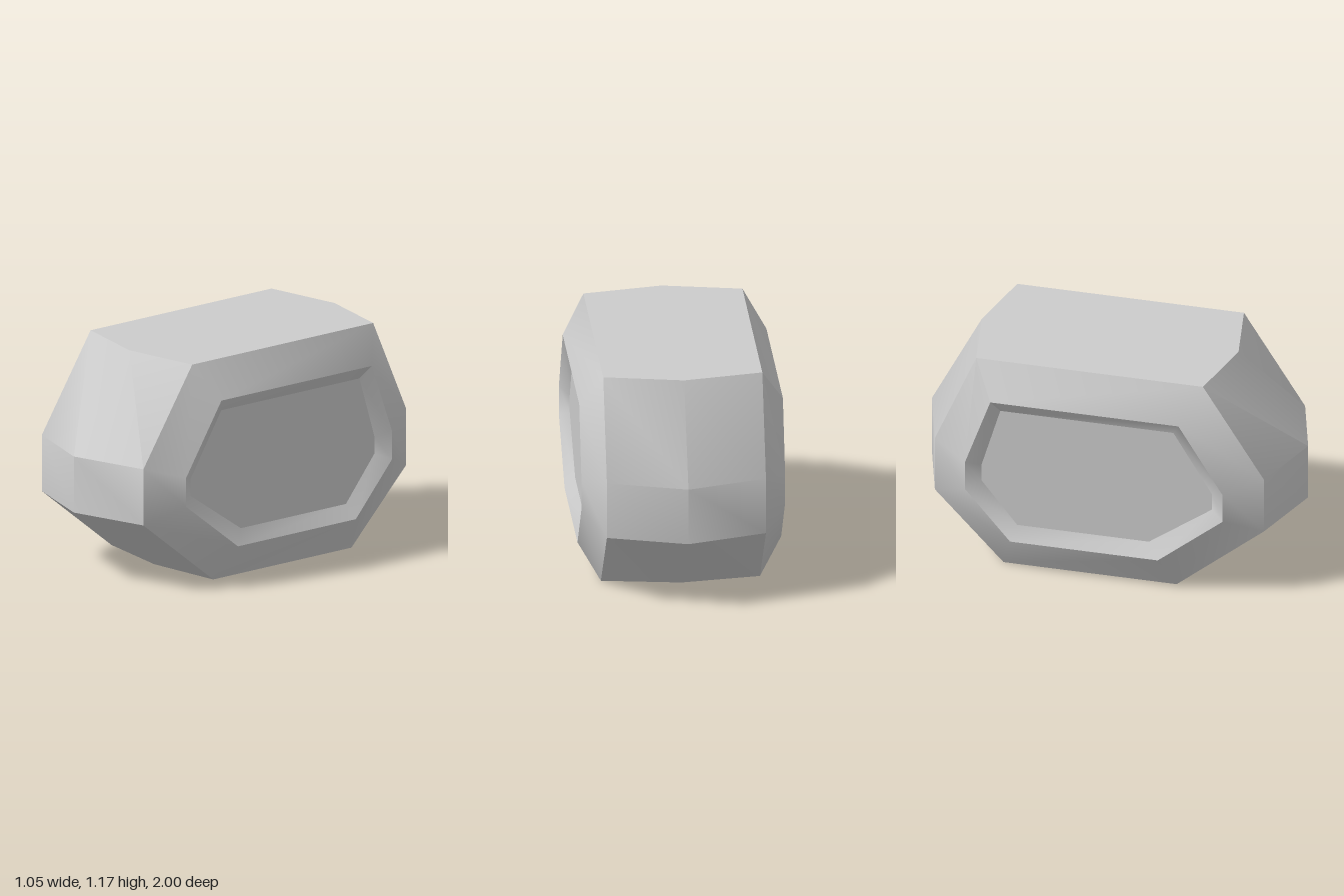
import * as THREE from 'three';
import { toCreasedNormals } from 'three/addons/utils/BufferGeometryUtils.js';

// Cross-sections as [z, y], from front top, down the front, along the bottom, up the back
const middle = [[0.63, 1.175], [1, 0.675], [1, 0.375], [0.465, 0], [-0.57, 0], [-1, 0.375], [-1, 0.675], [-0.735, 1.175]];
const shoulder = [[0.55, 1.175], [0.875, 0.675], [0.875, 0.375], [0.41, 0], [-0.51, 0], [-0.875, 0.375], [-0.875, 0.675], [-0.655, 1.175]];
const rim = [[0.45, 0.99], [0.685, 0.62], [0.685, 0.465], [0.34, 0.19], [-0.445, 0.19], [-0.685, 0.465], [-0.685, 0.62], [-0.55, 0.99]];
const recess = [[0.41, 0.92], [0.615, 0.59], [0.615, 0.5], [0.28, 0.265], [-0.42, 0.265], [-0.61, 0.5], [-0.61, 0.59], [-0.51, 0.92]];

const ring = (section, x) => section.map(([z, y]) => [x, y, z]);

function finish(triangles) {
  const geometry = new THREE.BufferGeometry();
  geometry.setAttribute('position', new THREE.Float32BufferAttribute(triangles.flat(2), 3));
  return toCreasedNormals(geometry, THREE.MathUtils.degToRad(35));
}

// Skin between neighbouring rings, ordered by increasing distance along x
function skin(rings) {
  const triangles = [];
  for (let r = 0; r < rings.length - 1; r++) {
    const a = rings[r], b = rings[r + 1];
    for (let i = 0; i < a.length; i++) {
      const j = (i + 1) % a.length;
      triangles.push([a[i], a[j], b[j]], [a[i], b[j], b[i]]);
    }
  }
  return finish(triangles);
}

// Flat panel closing one ring
function cap(points, side) {
  const triangles = [];
  for (let i = 1; i < points.length - 1; i++) {
    triangles.push(side > 0 ? [points[0], points[i], points[i + 1]] : [points[0], points[i + 1], points[i]]);
  }
  return finish(triangles);
}

export function createModel() {
  const group = new THREE.Group();
  group.name = 'facetedBlock';
  const grey = new THREE.MeshStandardMaterial({ name: 'light grey', color: 0xcccccc });

  const add = (name, geometry) => {
    const mesh = new THREE.Mesh(geometry, grey);
    mesh.name = name;
    group.add(mesh);
  };

  // Bowed outer shell with chamfered sides
  add('shell', skin([
    ring(rim, -0.525), ring(shoulder, -0.41), ring(middle, 0), ring(shoulder, 0.41), ring(rim, 0.525),
  ]));

  // Shallow recess on each side: sloped wall and flat floor
  for (const side of [1, -1]) {
    const label = side > 0 ? 'left' : 'right';
    const edge = ring(rim, side * 0.525), floor = ring(recess, side * 0.475);
    add(label + 'RecessWall', skin(side > 0 ? [edge, floor] : [floor, edge]));
    add(label + 'RecessFloor', cap(floor, side));
  }
  return group;
}
